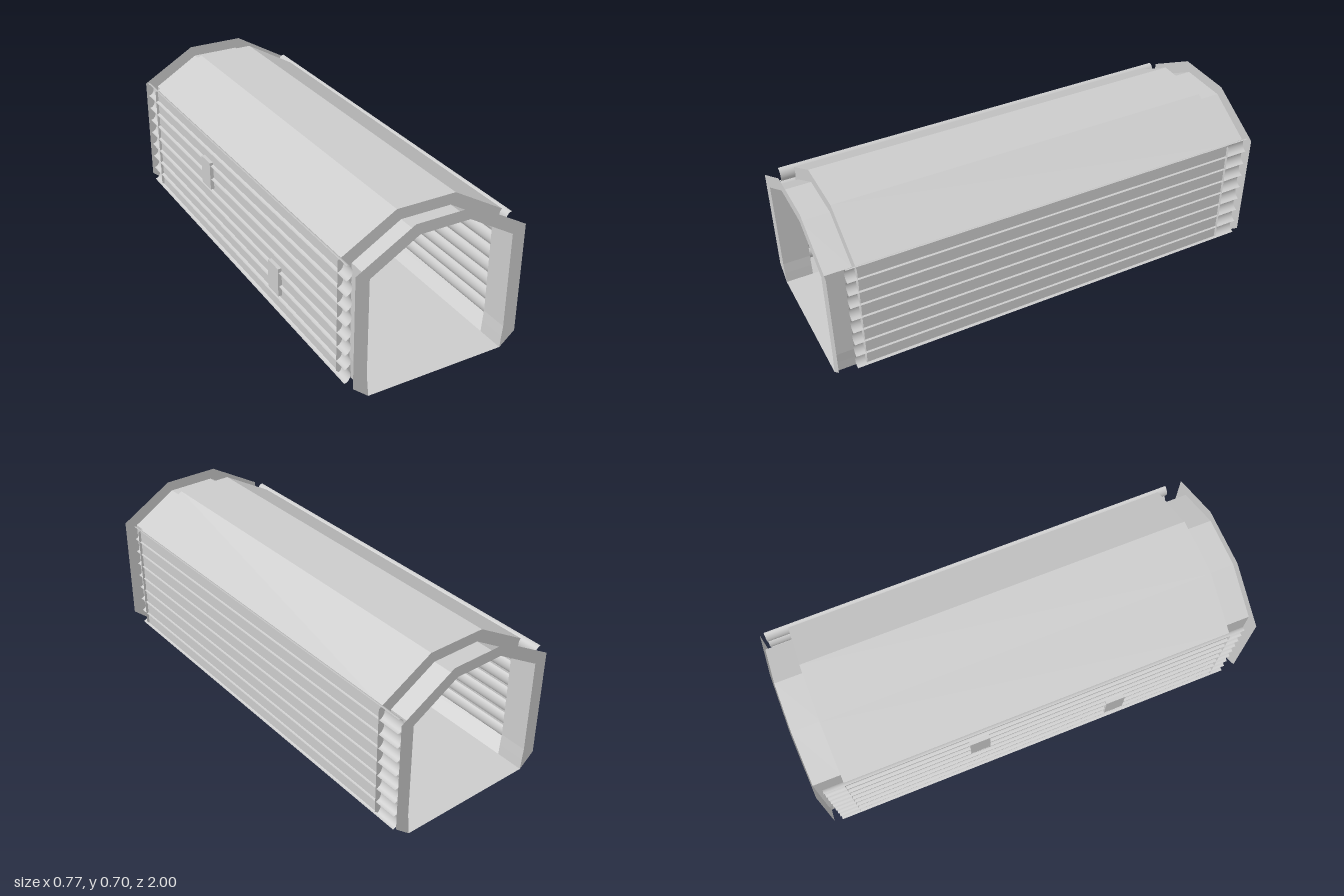
import * as THREE from 'three';

const END = 1, BODY = 0.875; // half length of the lining and of the covered body

export function createModel() {
  const model = new THREE.Group();
  const flat = new THREE.MeshStandardMaterial({ color: 0xcccccc, side: THREE.DoubleSide, flatShading: true });
  const smooth = new THREE.MeshStandardMaterial({ color: 0xcccccc, side: THREE.DoubleSide });

  const add = (name, geometry, material = flat, parent = model) => {
    const mesh = new THREE.Mesh(geometry, material);
    mesh.name = name;
    parent.add(mesh);
    return mesh;
  };

  // Half profiles run from the floor up; mirroring completes the arch.
  const arch = half => [...half, ...half.map(([x, y]) => [-x, y]).reverse()];
  const inner = arch([[0.313, 0], [0.317, 0.05], [0.322, 0.1], [0.322, 0.532], [0.112, 0.657]]);
  const outer = arch([[0.313, 0], [0.382, 0.06], [0.382, 0.56], [0.132, 0.705]]);
  const shell = arch([[0.313, 0], [0.37, 0.05], [0.37, 0.567], [0.132, 0.705]]);

  // Sweeps an open profile along z as a thin faceted sheet.
  const sweep = (profile, z0, z1) => {
    const pos = [];
    for (let i = 0; i < profile.length - 1; i++) {
      const [a, b] = [profile[i], profile[i + 1]];
      pos.push(...a, z0, ...b, z0, ...b, z1, ...a, z0, ...b, z1, ...a, z1);
    }
    // Reverse the winding so the sheet faces out of the arch
    const g = new THREE.BufferGeometry();
    for (let i = 0; i < pos.length; i += 9) {
      const second = pos.slice(i + 3, i + 6);
      for (let k = 0; k < 3; k++) {
        pos[i + 3 + k] = pos[i + 6 + k];
        pos[i + 6 + k] = second[k];
      }
    }
    g.setAttribute('position', new THREE.Float32BufferAttribute(pos, 3));
    g.computeVertexNormals();
    return g;
  };

  // Outer shell: chamfered base, side walls and roof
  add('outerShell', sweep(shell, -BODY, BODY));

  // Floor
  add('floor', new THREE.PlaneGeometry(0.626, 2 * END).rotateX(-Math.PI / 2));

  // Lining of each mouth, and the flange plates on both sides of it
  const ring = [...outer, ...inner.slice(1, -1).reverse()];
  const ringShape = new THREE.Shape(ring.map(([x, y]) => new THREE.Vector2(x, y)));
  for (const s of [1, -1]) {
    const mouth = new THREE.Group();
    mouth.name = s > 0 ? 'frontMouth' : 'backMouth';
    model.add(mouth);
    add('lining', sweep(inner, Math.min(s * BODY, s * END), Math.max(s * BODY, s * END)), flat, mouth);
    for (const z of [BODY, END]) {
      const flange = add(z === END ? 'endFlange' : 'innerFlange', new THREE.ShapeGeometry(ringShape), flat, mouth);
      flange.position.z = s * z;
      if (s < 0) flange.rotation.y = Math.PI;
    }
  }

  // Corrugated wall sheets: half-round ribs bulging into the tunnel
  const ribs = 8, low = 0.043, high = 0.575, r = (high - low) / ribs / 2;
  const corrugated = (name, side, edge, z0, z1) => {
    const sheet = new THREE.Group();
    sheet.name = name;
    model.add(sheet);
    const rib = new THREE.CylinderGeometry(r, r, z1 - z0, 12, 1, true, side > 0 ? Math.PI : 0, Math.PI);
    rib.rotateX(Math.PI / 2).scale(0.027 / r, 1, 1);
    for (let i = 0; i < ribs; i++) {
      add('rib', rib, smooth, sheet).position.set(side * edge, low + r * (2 * i + 1), (z0 + z1) / 2);
    }
  };
  corrugated('leftCorrugatedWall', 1, 0.379, -0.98, 0.918);
  corrugated('rightCorrugatedWall', -1, 0.384, -0.965, 0.94);

  // Wall boxes: [name, inner x, outer x, centre y, centre z]
  for (const [name, x0, x1, y, z] of [
    ['rightLowerBox', -0.387, -0.333, 0.195, 0.365],
    ['rightUpperBox', -0.387, -0.333, 0.39, -0.285],
    ['leftLowerBox', 0.319, 0.368, 0.257, -0.555],
    ['leftUpperBox', 0.319, 0.368, 0.412, 0.2],
  ]) {
    add(name, new THREE.BoxGeometry(x1 - x0, 0.133, 0.09)).position.set((x0 + x1) / 2, y, z);
  }

  return model;
}
